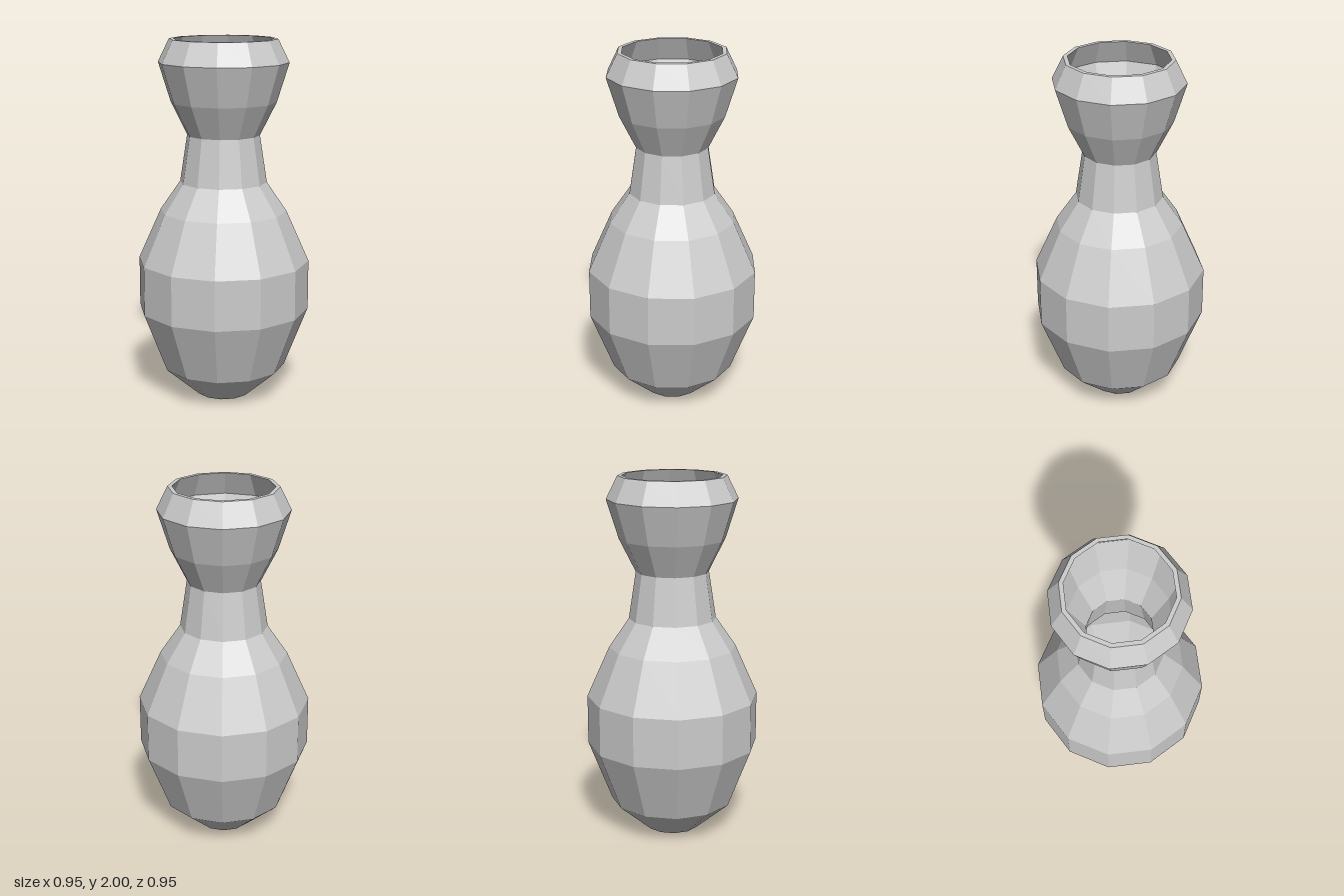
import * as THREE from 'three';

const SIDES = 12;

export function createModel() {
  const group = new THREE.Group();
  group.name = 'vase';
  const clay = new THREE.MeshStandardMaterial({ color: 0xcccccc, flatShading: true });
  clay.name = 'pale grey clay';

  // Revolves a list of [radius, height] pairs into a faceted surface
  const turn = (name, profile) => {
    const points = profile.map(([r, y]) => new THREE.Vector2(r, y));
    const mesh = new THREE.Mesh(new THREE.LatheGeometry(points, SIDES), clay);
    mesh.name = name;
    group.add(mesh);
  };

  // Outside wall, from the foot up to the lip
  const outer = [
    [0.15, 0], [0.345, 0.17], [0.475, 0.505], [0.475, 0.78], [0.35, 1.06],
    [0.24, 1.22], [0.2, 1.48], [0.29, 1.66], [0.357, 1.875], [0.295, 2],
  ];
  // Inside wall, from the lip down to the floor
  const inner = [
    [0.272, 2], [0.333, 1.87], [0.268, 1.665], [0.177, 1.48], [0.218, 1.215],
    [0.33, 1.05], [0.452, 0.775], [0.452, 0.51], [0.325, 0.18], [0.14, 0.02],
  ];
  turn('outerWall', outer);
  turn('rim', [outer[outer.length - 1], inner[0]]);
  turn('innerWall', inner);

  // Flat discs: underside of the foot and the floor inside
  const disc = (name, radius, y, tilt) => {
    const mesh = new THREE.Mesh(new THREE.CircleGeometry(radius, SIDES), clay);
    mesh.name = name;
    mesh.rotation.x = tilt;
    mesh.position.y = y;
    group.add(mesh);
  };
  disc('base', 0.15, 0, Math.PI / 2);
  disc('innerFloor', 0.14, 0.02, -Math.PI / 2);

  return group;
}
